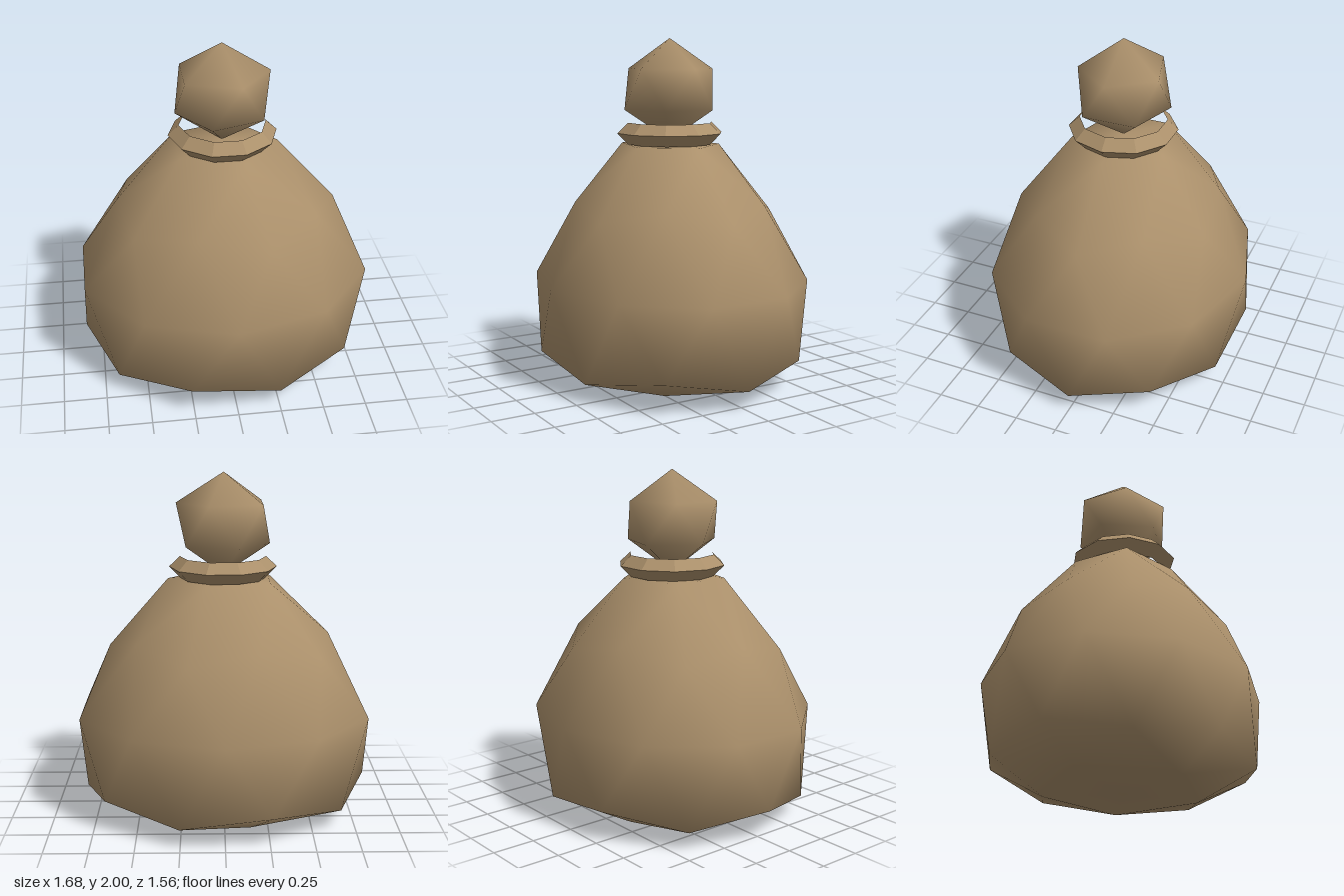
import * as THREE from 'three';
import { mergeVertices } from 'three/addons/utils/BufferGeometryUtils.js';

// Point on a ring; k counts steps of 36 degrees from +x.
function ringPoint(r, y, k, zScale) {
  const a = k * Math.PI / 5;
  return [r * Math.cos(a), y, -r * Math.sin(a) * zScale];
}

// Smooth shaded geometry from a list of corner triples.
function smoothGeometry(triangles) {
  const g = new THREE.BufferGeometry();
  g.setAttribute('position', new THREE.Float32BufferAttribute(triangles.flat(2), 3));
  const merged = mergeVertices(g, 1e-4);
  merged.computeVertexNormals();
  return merged;
}

// Sack: a once-subdivided icosahedron with each row pulled to its own radius and height.
function sackGeometry() {
  const zs = 0.9;
  const odd = (k) => Math.abs(k) % 2 === 1;
  const T = (i) => ringPoint(0.325, 1.385, 2 * i, zs);
  const U = (k) => (odd(k) ? ringPoint(0.615, 1.06, k, zs) : ringPoint(0.67, 0.99, k, zs));
  const E = (k) => ringPoint(0.88, 0.6, k + 0.5, 0.885);
  const L = (k) => (odd(k) ? ringPoint(0.845, 0.18, k, zs) : ringPoint(0.825, 0.11, k, 0.89));
  const B = (i) => ringPoint(0.48, 0.01, 2 * i + 1, 0.95);
  const top = [0, 1.41, 0], bottom = [0, 0, 0];
  const tris = [];
  for (let i = 0; i < 5; i++) {
    const k = 2 * i;
    tris.push(
      [top, T(i), T(i + 1)],
      [T(i), U(k), U(k + 1)],
      [T(i), U(k + 1), T(i + 1)],
      [T(i + 1), U(k + 1), U(k + 2)],
      [L(k + 1), B(i), L(k + 2)],
      [B(i), B(i + 1), L(k + 2)],
      [L(k + 2), B(i + 1), L(k + 3)],
      [B(i + 1), B(i), bottom]
    );
  }
  for (let k = 0; k < 10; k++) {
    tris.push(
      [U(k), E(k), U(k + 1)],
      [E(k), E(k + 1), U(k + 1)],
      [E(k), L(k), L(k + 1)],
      [E(k), L(k + 1), E(k + 1)]
    );
  }
  return smoothGeometry(tris);
}

// Knot: an uneven icosahedron standing on its point.
function knotGeometry() {
  const U = (i) => ringPoint(0.275, 1.825, 2 * i, 0.92);
  const L = (i) => ringPoint(0.268, 1.59, 2 * i + 1, 1);
  const top = [0, 2, 0], bottom = [0, 1.41, 0];
  const tris = [];
  for (let i = 0; i < 5; i++) {
    tris.push(
      [top, U(i), U(i + 1)],
      [U(i), L(i), U(i + 1)],
      [L(i), L(i + 1), U(i + 1)],
      [L(i + 1), L(i), bottom]
    );
  }
  return smoothGeometry(tris);
}

// Tie: a faceted ten-sided band with a ridge round its middle, open inside.
function tieGeometry() {
  const profile = [[0.25, 1.39], [0.313, 1.455], [0.25, 1.515]].map((p) => new THREE.Vector2(...p));
  const g = new THREE.LatheGeometry(profile, 10, Math.PI / 2).toNonIndexed();
  g.computeVertexNormals();
  return g;
}

export function createModel() {
  const model = new THREE.Group();
  model.name = 'tiedSack';
  const cloth = new THREE.MeshStandardMaterial({ color: 0xab906b });
  cloth.name = 'sackcloth';
  const add = (name, geometry) => {
    const mesh = new THREE.Mesh(geometry, cloth);
    mesh.name = name;
    model.add(mesh);
    return mesh;
  };
  add('sackBody', sackGeometry());
  add('neckTie', tieGeometry()).position.x = 0.004;
  add('topKnot', knotGeometry());
  return model;
}
